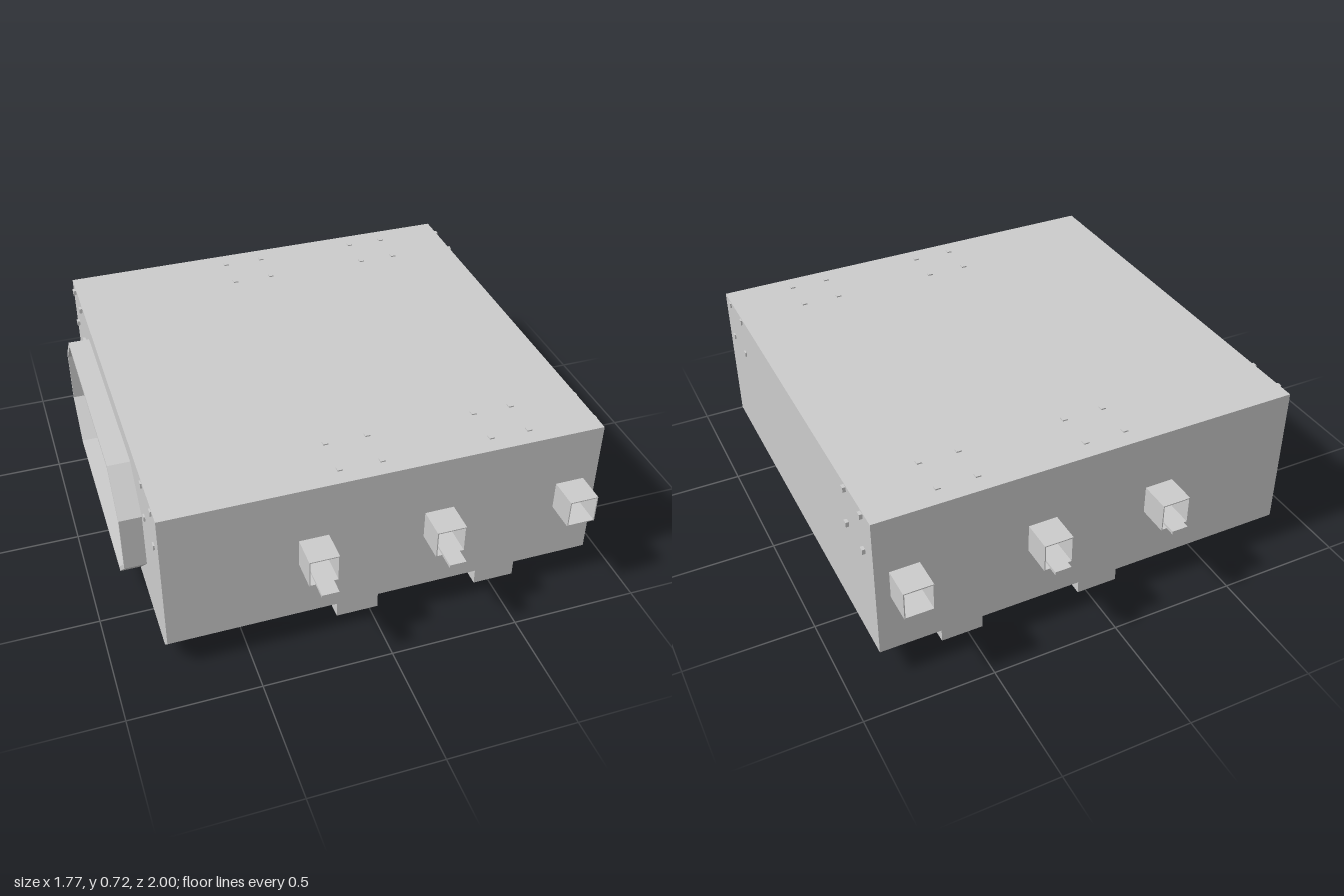
import * as THREE from 'three';

const mat = new THREE.MeshStandardMaterial({ color: 0xcccccc, side: THREE.DoubleSide, flatShading: true });

// Housing limits
const X0 = -0.8, X1 = 0.87, X1B = 0.79;
const Z0 = -0.845, Z1 = 0.815, Z0B = -0.78, Z1B = 0.755;
const YB = 0.068, YC = 0.13, YT = 0.713;

const trace = (pts, Type = THREE.Shape) => new Type(pts.map(([a, b]) => new THREE.Vector2(a, b)));
const rect = (x0, x1, y0, y1) => [[x0, y0], [x1, y0], [x1, y1], [x0, y1]];
const octagon = (x0, x1, y0, y1, c) => [
  [x0 + c, y0], [x1 - c, y0], [x1, y0 + c], [x1, y1 - c],
  [x1 - c, y1], [x0 + c, y1], [x0, y1 - c], [x0, y0 + c],
];
const house = (x, y, w, h) => [[x - w, y], [x + w, y], [x + w, y + h * 0.72], [x, y + h], [x - w, y + h * 0.72]];

// Flat outline with holes; a depth makes it an extrusion
function outline(pts, holes, depth = 0) {
  const shape = trace(pts);
  shape.holes = holes.map((h) => trace(h, THREE.Path));
  return depth
    ? new THREE.ExtrudeGeometry(shape, { depth, bevelEnabled: false })
    : new THREE.ShapeGeometry(shape);
}

// Quad sheets from lists of four corners
function quads(list) {
  const pos = [];
  for (const [a, b, c, d] of list) pos.push(...a, ...b, ...c, ...a, ...c, ...d);
  const geo = new THREE.BufferGeometry();
  geo.setAttribute('position', new THREE.Float32BufferAttribute(pos, 3));
  geo.computeVertexNormals();
  return geo;
}

export function createModel() {
  const model = new THREE.Group();
  const add = (name, geo, x = 0, y = 0, z = 0, parent = model) => {
    const mesh = new THREE.Mesh(geo, mat);
    mesh.name = name;
    mesh.position.set(x, y, z);
    parent.add(mesh);
    return mesh;
  };
  const box = (name, w, h, d, x, y, z, parent) => add(name, new THREE.BoxGeometry(w, h, d), x, y, z, parent);

  // Front and back sheets, pierced by the square ports
  const portX = [-0.246, 0.234, 0.76];
  const P = 0.056, PY0 = 0.374, PY1 = 0.487;
  const portHoles = portX.map((x) => rect(x - P, x + P, PY0, PY1));
  const wall = rect(X0, X1, YC, YT);
  add('frontWall', outline(wall, portHoles), 0, 0, Z1);
  add('backWall', outline(wall, portHoles).rotateY(Math.PI).scale(-1, 1, 1)
    .copy(quadFlip(outline(wall, portHoles))), 0, 0, Z0);

  // End sheet with the large eight-sided opening and its projecting collar
  const endProfile = [[Z0B, YB], [Z1B, YB], [Z1, YC], [Z1, YT], [Z0, YT], [Z0, YC]];
  const outer = octagon(-0.63, 0.513, 0.108, 0.63, 0.145);
  const inner = octagon(-0.615, 0.498, 0.123, 0.615, 0.139);
  add('openingWall', outline(endProfile, [inner]).rotateY(-Math.PI / 2), X0);
  add('openingCollar', outline(outer, [inner], 0.085).rotateY(-Math.PI / 2), X0);

  // Roof, plain end, floor and the sloped lower edges
  const top = [[X0, YT, Z1], [X1, YT, Z1], [X1, YT, Z0], [X0, YT, Z0]];
  const mid = top.map(([x, , z]) => [x, YC, z]);
  const low = [[X0, YB, Z1B], [X1B, YB, Z1B], [X1B, YB, Z0B], [X0, YB, Z0B]];
  add('roof', quads([top]));
  add('plainEndWall', quads([[mid[1], mid[2], top[2], top[1]]]));
  add('floor', quads([[...low].reverse()]));
  add('lowerBevels', quads([0, 1, 2].map((i) => [low[i], low[i + 1], mid[i + 1], mid[i]])));

  // Square port tubes with inner gable frames; two per side carry a tongue
  for (const s of [1, -1]) {
    const face = s > 0 ? Z1 : Z0;
    const len = s > 0 ? 0.117 : 0.12;
    portX.forEach((x, i) => {
      const port = new THREE.Group();
      port.name = s > 0 ? 'frontPort' : 'backPort';
      model.add(port);
      const z = Math.min(face, face + s * len);
      add('portTube', outline(rect(x - P, x + P, PY0, PY1), [rect(x - P + 0.004, x + P - 0.004, PY0 + 0.004, PY1 - 0.004)], len), 0, 0, z, port);
      add('portGable', outline(house(x, 0.383, 0.043, 0.09), [house(x, 0.388, 0.037, 0.078)], 0.01), 0, 0, face - 0.005, port);
      if (i < 2) {
        const depth = 1 - Math.abs(face);
        box('portTongue', 0.064, 0.013, depth, x, 0.381, face + s * depth / 2, port);
      }
    });
  }

  // Feet
  const pairsX = [[-0.133, 0.033], [0.44, 0.605]];
  const pairsZ = [[-0.775, -0.605], [0.58, 0.755]];
  for (const [xa, xb] of pairsX) for (const [za, zb] of pairsZ) {
    box('foot', xb - xa, 0.075, zb - za, (xa + xb) / 2, 0.0375, (za + zb) / 2);
  }

  // Rivets: groups of four on the roof and near the corners of both ends
  const R = 0.02;
  const rivetZ = [-0.767, -0.612, 0.588, 0.742];
  for (const z of rivetZ) {
    for (const x of [-0.13, 0.03, 0.45, 0.6]) box('roofRivet', R, 0.01, R, x, YT, z);
    const t = z < 0 ? 0.024 : 0.012;
    for (const y of [0.545, 0.698]) {
      box('endRivet', t, R, R, X1, y, z);
      box('endRivet', t, R, R, X0, y, z);
    }
  }
  return model;
}

// Same flat sheet facing the other way
function quadFlip(geo) {
  const idx = geo.index.array;
  for (let i = 0; i < idx.length; i += 3) [idx[i], idx[i + 1]] = [idx[i + 1], idx[i]];
  geo.computeVertexNormals();
  return geo;
}
